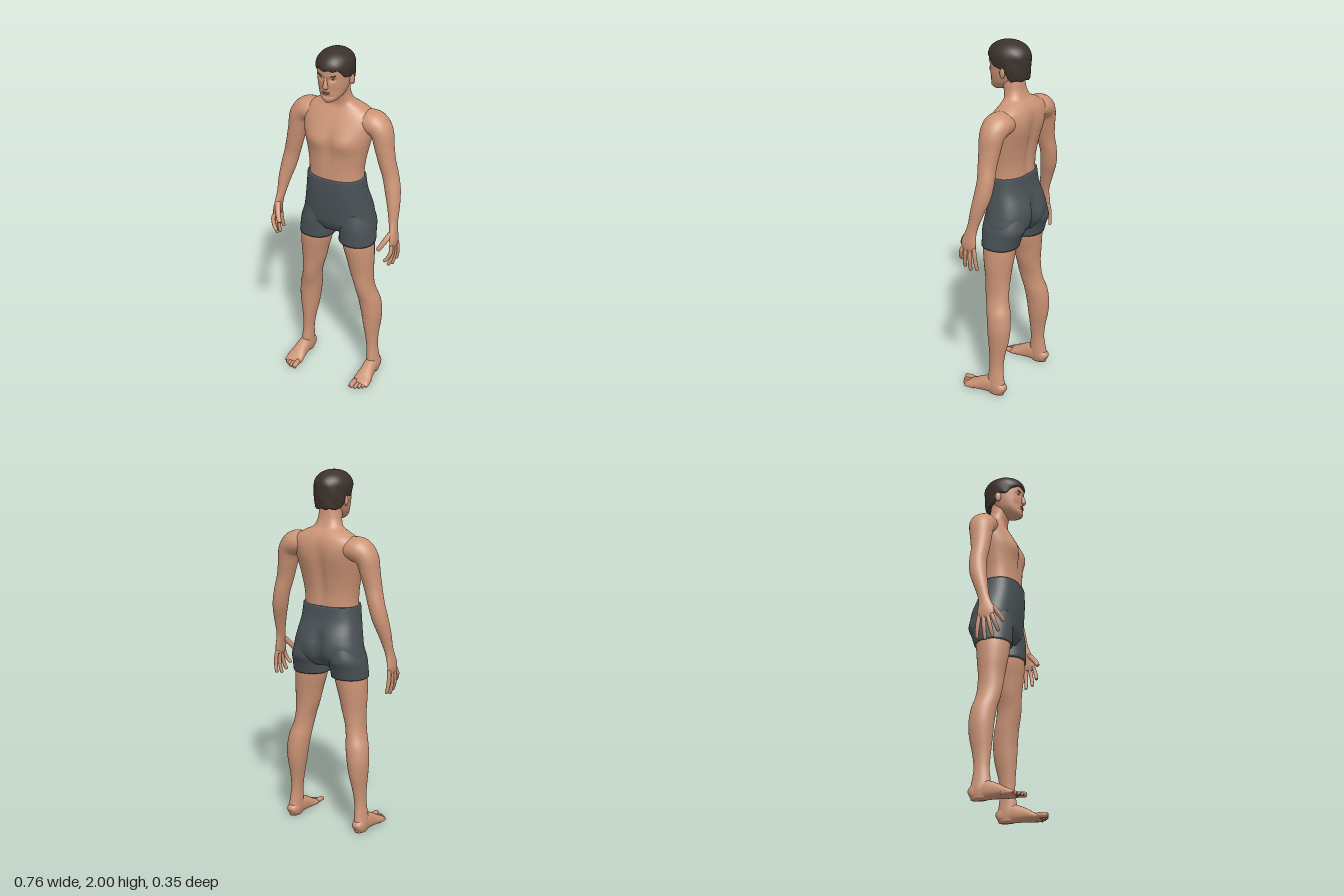
import * as THREE from 'three';
import { mergeVertices } from 'three/addons/utils/BufferGeometryUtils.js';

const V = (x, y, z) => new THREE.Vector3(x, y, z);
const gauss = (d, s) => Math.exp(-((d / s) ** 2));
const smooth = (v, a, b) => THREE.MathUtils.smoothstep(v, a, b);

// Smooth interpolation through rows of numbers, u in 0..1
function sample(rows, u) {
  const f = u * (rows.length - 1), i = Math.min(Math.floor(f), rows.length - 2), t = f - i;
  const at = (k) => rows[THREE.MathUtils.clamp(k, 0, rows.length - 1)];
  return rows[0].map((_, c) => {
    const p0 = at(i - 1)[c], p1 = at(i)[c], p2 = at(i + 1)[c], p3 = at(i + 2)[c];
    const m1 = (p2 - p0) / 2, m2 = (p3 - p1) / 2, t2 = t * t, t3 = t2 * t;
    return p1 * (2 * t3 - 3 * t2 + 1) + m1 * (t3 - 2 * t2 + t) + p2 * (3 * t2 - 2 * t3) + m2 * (t3 - t2);
  });
}

// Closed skin over sections [x, y, z, halfWidth, halfDepth]
function loft(rows, { ref = V(0, 0, 1), flat = false, n = 28, sub = 5, power = 2, rule = null } = {}) {
  const steps = (rows.length - 1) * sub, pos = [], idx = [];
  const put = (p) => { if (rule) rule(p); pos.push(p.x, p.y, p.z); };
  for (let i = 0; i <= steps; i++) {
    const [x, y, z, a, b] = sample(rows, i / steps);
    const p0 = sample(rows, Math.max(0, i - 0.5) / steps), p1 = sample(rows, Math.min(steps, i + 0.5) / steps);
    const t = flat ? V(0, Math.sign(p1[1] - p0[1]), 0) : V(p1[0] - p0[0], p1[1] - p0[1], p1[2] - p0[2]).normalize();
    const u = ref.clone().cross(t).normalize(), v = t.clone().cross(u);
    for (let j = 0; j < n; j++) {
      const q = (j / n) * Math.PI * 2, c = Math.cos(q), s = Math.sin(q);
      const cu = Math.sign(c) * Math.abs(c) ** (2 / power), sv = Math.sign(s) * Math.abs(s) ** (2 / power);
      put(V(x, y, z).addScaledVector(u, a * cu).addScaledVector(v, b * sv));
    }
  }
  for (let i = 0; i < steps; i++) for (let j = 0; j < n; j++) {
    const k = (j + 1) % n, a = i * n + j, b = i * n + k;
    idx.push(a, b, b + n, a, b + n, a + n);
  }
  const first = pos.length / 3, e = steps * n;
  put(V(...rows[0].slice(0, 3)));
  put(V(...rows[rows.length - 1].slice(0, 3)));
  for (let j = 0; j < n; j++) {
    const k = (j + 1) % n;
    idx.push(first, k, j, first + 1, e + j, e + k);
  }
  const g = new THREE.BufferGeometry();
  g.setAttribute('position', new THREE.Float32BufferAttribute(pos, 3));
  g.setIndex(idx);
  g.computeVertexNormals();
  return g;
}

// Level sections [y, x, halfWidth, zFront, zBack]
const level = (rows, opts = {}) =>
  loft(rows.map(([y, x, w, f, b]) => [x, y, (f + b) / 2, w, (f - b) / 2]), { flat: true, ...opts });

// Finger or toe: rounded tapering tube through points
function digit(pts, r, ref) {
  const size = [0.95, 1, 0.9, 0.8, 0.4];
  const rows = size.map((k, i) => [...sample(pts, [0, 0.35, 0.7, 0.93, 1][i]), r * k, r * k]);
  return loft(rows, { ref, n: 10, sub: 3 });
}

function mirrored(geo) {
  const g = geo.clone(), p = g.attributes.position, id = g.index.array;
  for (let i = 0; i < p.count; i++) p.setX(i, -p.getX(i));
  for (let i = 0; i < id.length; i += 3) [id[i], id[i + 1]] = [id[i + 1], id[i]];
  g.computeVertexNormals();
  return g;
}

function blob(x, y, z, sx, sy, sz, turn = 0, tilt = 0) {
  const g = new THREE.SphereGeometry(1, 20, 14).scale(sx, sy, sz);
  return g.rotateZ(tilt).rotateY(turn).translate(x, y, z);
}

// Cap of hair with a hairline that drops from the brow to the nape
function hairCap() {
  let g = new THREE.SphereGeometry(1, 48, 32);
  const p = g.attributes.position;
  for (let i = 0; i < p.count; i++) {
    const az = Math.atan2(p.getX(i), p.getZ(i)), w = Math.abs(az);
    const t = Math.acos(THREE.MathUtils.clamp(p.getY(i), -1, 1)) / Math.PI, q = t / 0.8;
    const h = 1.912 - 0.047 * smooth(w, 0.6, 1.3) - 0.068 * smooth(w, 1.65, 2.1) + 0.004 * Math.sin(az * 11);
    let r, y;
    if (q < 0.6) {
      const a = (q / 0.6) * Math.PI / 2;
      r = Math.sin(a) ** 0.92; y = 1.92 + 0.08 * Math.cos(a);
    } else if (q <= 1) {
      const f = (q - 0.6) / 0.4;
      r = 1 - 0.07 * f * f; y = 1.92 - (1.92 - h) * f;
    } else {
      const f = (t - 0.8) / 0.2;
      r = 0.93 * (1 - f); y = h + (1.87 - h) * f;
    }
    r *= 1 + 0.012 * Math.sin(az * 7 + y * 60) * Math.min(1, q);
    p.setXYZ(i, Math.sin(az) * r * 0.098, y, Math.cos(az) * r * 0.12);
  }
  g.deleteAttribute('uv');
  g.deleteAttribute('normal');
  g = mergeVertices(g, 1e-5);
  g.computeVertexNormals();
  return g;
}

export function createModel() {
  const model = new THREE.Group();
  const mat = (name, color) => Object.assign(new THREE.MeshStandardMaterial({ color }), { name });
  const skin = mat('skin', 0xcc9476), cloth = mat('shorts grey', 0x4a5256), hair = mat('hair brown', 0x3d322c);
  const white = mat('eye white', 0xc9b8ac), iris = mat('iris', 0x2e231d), lip = mat('lip', 0xb0745f);
  const add = (name, geo, m) => {
    const mesh = new THREE.Mesh(geo, m);
    mesh.name = name;
    model.add(mesh);
  };
  const pair = (name, geo, m) => {
    add(name + 'Left', geo, m);
    add(name + 'Right', mirrored(geo), m);
  };

  // Torso and neck, with chest, breastbone, shoulder blades and spine shaped by rule
  add('torso', level([
    [1.25, 0, 0.155, 0.092, -0.118], [1.34, 0, 0.157, 0.088, -0.117], [1.42, 0, 0.17, 0.088, -0.128],
    [1.5, 0, 0.188, 0.09, -0.143], [1.56, 0, 0.2, 0.074, -0.152], [1.61, 0, 0.205, 0.05, -0.154],
    [1.65, 0, 0.185, 0.028, -0.146], [1.68, 0, 0.135, 0.012, -0.128], [1.705, 0, 0.085, 0.01, -0.106],
    [1.74, 0, 0.067, 0.018, -0.09], [1.78, 0, 0.063, 0.03, -0.082], [1.83, 0, 0.06, 0.03, -0.075],
  ], { power: 2.25, n: 64, sub: 6, rule: (p) => {
    const x = Math.abs(p.x);
    if (p.z > -0.01) {
      p.z += 0.014 * gauss(x - 0.085, 0.06) * gauss(p.y - 1.5, 0.055);
      p.z -= 0.01 * gauss(x, 0.022) * gauss(p.y - 1.47, 0.12);
    } else if (p.z < -0.05) {
      p.z += 0.016 * gauss(x, 0.025) * gauss(p.y - 1.46, 0.17);
      p.z -= 0.008 * gauss(x - 0.1, 0.05) * gauss(p.y - 1.56, 0.07);
    }
  } }), skin);

  // Arms and palms
  pair('arm', loft([
    [0.12, 1.598, -0.06, 0.058, 0.07], [0.195, 1.6, -0.06, 0.068, 0.078], [0.243, 1.56, -0.056, 0.06, 0.07],
    [0.262, 1.48, -0.052, 0.052, 0.06], [0.28, 1.4, -0.05, 0.047, 0.051], [0.301, 1.32, -0.054, 0.044, 0.048],
    [0.32, 1.24, -0.045, 0.042, 0.047], [0.337, 1.16, -0.025, 0.034, 0.039], [0.348, 1.08, -0.005, 0.024, 0.031],
    [0.355, 1.035, 0.006, 0.02, 0.034], [0.363, 0.985, 0.014, 0.017, 0.045], [0.365, 0.95, 0.015, 0.013, 0.045],
    [0.365, 0.932, 0.015, 0.007, 0.038],
  ]), skin);

  // Fingers [base z, tip x, tip y, tip z]
  [[0.049, 0.338, 0.862, 0.078], [0.026, 0.349, 0.828, 0.05], [0.003, 0.354, 0.815, 0.01], [-0.02, 0.358, 0.828, -0.036]]
    .forEach(([z, tx, ty, tz], i) => pair('finger' + (i + 1), digit(
      [[0.364, 0.955, z], [0.369, (0.955 + ty) / 2, z * 0.45 + tz * 0.55], [tx, ty, tz]], 0.0115, V(0, 0, 1)), skin));
  pair('thumb', digit([[0.356, 1.025, 0.025], [0.334, 0.98, 0.068], [0.306, 0.932, 0.096]], 0.015, V(0, 0, 1)), skin);

  // Legs
  pair('leg', level([
    [0.97, 0.118, 0.09, 0.065, -0.12], [0.87, 0.13, 0.09, 0.069, -0.115], [0.78, 0.143, 0.079, 0.058, -0.105],
    [0.7, 0.151, 0.068, 0.046, -0.097], [0.62, 0.164, 0.056, 0.04, -0.098], [0.56, 0.175, 0.056, 0.029, -0.106],
    [0.5, 0.188, 0.062, 0.015, -0.122], [0.42, 0.199, 0.06, 0.006, -0.13], [0.34, 0.203, 0.051, 0, -0.124],
    [0.25, 0.207, 0.037, -0.008, -0.105], [0.17, 0.212, 0.031, -0.012, -0.096], [0.1, 0.217, 0.034, -0.004, -0.104],
    [0.05, 0.22, 0.037, 0, -0.112], [0.005, 0.22, 0.03, -0.01, -0.106],
  ]), skin);

  // Feet and toes
  pair('foot', loft([
    [0.219, 0.03, -0.114, 0.016, 0.018], [0.219, 0.038, -0.095, 0.033, 0.038], [0.22, 0.05, -0.03, 0.036, 0.05],
    [0.222, 0.04, 0.03, 0.041, 0.04], [0.224, 0.026, 0.08, 0.05, 0.026], [0.223, 0.018, 0.115, 0.05, 0.017],
    [0.222, 0.015, 0.13, 0.043, 0.009],
  ], { ref: V(0, 1, 0), power: 2.3, rule: (p) => { p.y = Math.max(p.y, 0.001); } }), skin);
  [[0.189, 0.176, 0.0155], [0.214, 0.17, 0.0105], [0.233, 0.159, 0.0105], [0.25, 0.146, 0.0105], [0.266, 0.129, 0.0105]]
    .forEach(([x, z, r], i) => pair('toe' + (i + 1), digit(
      [[x * 0.9 + 0.022, r + 0.006, z - 0.062], [x, r + 0.006, z - 0.022], [x, r + 0.001, z]], r, V(0, 1, 0)), skin));

  // Shorts: seat with a rear cleft, and two legs
  const cleft = (p) => {
    if (p.z < -0.05) p.z += 0.034 * gauss(p.x, 0.028) * smooth(p.y, 0.9, 1.0) * (1 - smooth(p.y, 1.08, 1.2));
  };
  add('shortsSeat', level([
    [1.282, 0, 0.163, 0.1, -0.124], [1.2, 0, 0.172, 0.1, -0.136], [1.12, 0, 0.187, 0.094, -0.166],
    [1.06, 0, 0.199, 0.087, -0.177], [1.0, 0, 0.203, 0.077, -0.164], [0.95, 0, 0.12, 0.05, -0.12],
  ], { power: 2.4, n: 64, rule: cleft }), cloth);
  pair('shortsLeg', level([
    [1.08, 0.1, 0.085, 0.07, -0.155], [1.0, 0.113, 0.1, 0.08, -0.165], [0.95, 0.12, 0.1, 0.08, -0.146],
    [0.888, 0.123, 0.102, 0.078, -0.126],
  ], { power: 2.15, n: 36 }), cloth);

  // Head with eye sockets, cheeks and chin
  add('head', level([
    [1.733, 0, 0.018, 0.094, 0.045], [1.748, 0, 0.043, 0.106, 0.0], [1.775, 0, 0.065, 0.107, -0.04],
    [1.81, 0, 0.077, 0.108, -0.07], [1.85, 0, 0.084, 0.108, -0.09], [1.89, 0, 0.086, 0.112, -0.096],
    [1.93, 0, 0.083, 0.108, -0.1], [1.965, 0, 0.06, 0.075, -0.075], [1.98, 0, 0.025, 0.03, -0.03],
  ], { power: 2.15, n: 64, sub: 8, rule: (p) => {
    if (p.z < 0.03) return;
    const x = Math.abs(p.x);
    p.z -= 0.011 * gauss(x - 0.034, 0.017) * gauss(p.y - 1.868, 0.012);
    p.z -= 0.006 * gauss(x - 0.045, 0.02) * gauss(p.y - 1.8, 0.025);
    p.z -= 0.005 * gauss(p.y - 1.772, 0.007) * gauss(x, 0.04);
  } }), skin);
  add('nose', loft([
    [0, 1.886, 0.1, 0.007, 0.008], [0, 1.865, 0.107, 0.008, 0.01], [0, 1.842, 0.113, 0.011, 0.012],
    [0, 1.826, 0.113, 0.016, 0.014], [0, 1.817, 0.107, 0.012, 0.008],
  ], { n: 16 }), skin);
  add('upperLip', blob(0, 1.794, 0.104, 0.024, 0.004, 0.008), lip);
  add('lowerLip', blob(0, 1.786, 0.103, 0.02, 0.0045, 0.008), lip);
  pair('ear', blob(0.088, 1.843, -0.012, 0.01, 0.03, 0.017, -0.3), skin);
  pair('eye', blob(0.034, 1.868, 0.086, 0.014, 0.0055, 0.008, 0.25), white);
  pair('iris', blob(0.034, 1.868, 0.0925, 0.005, 0.005, 0.0025, 0.25), iris);
  pair('eyelid', blob(0.034, 1.8735, 0.089, 0.016, 0.003, 0.008, 0.25), skin);
  pair('eyebrow', blob(0.035, 1.886, 0.1, 0.02, 0.0035, 0.005, 0.3, 0.12), hair);
  add('hair', hairCap(), hair);
  return model;
}
